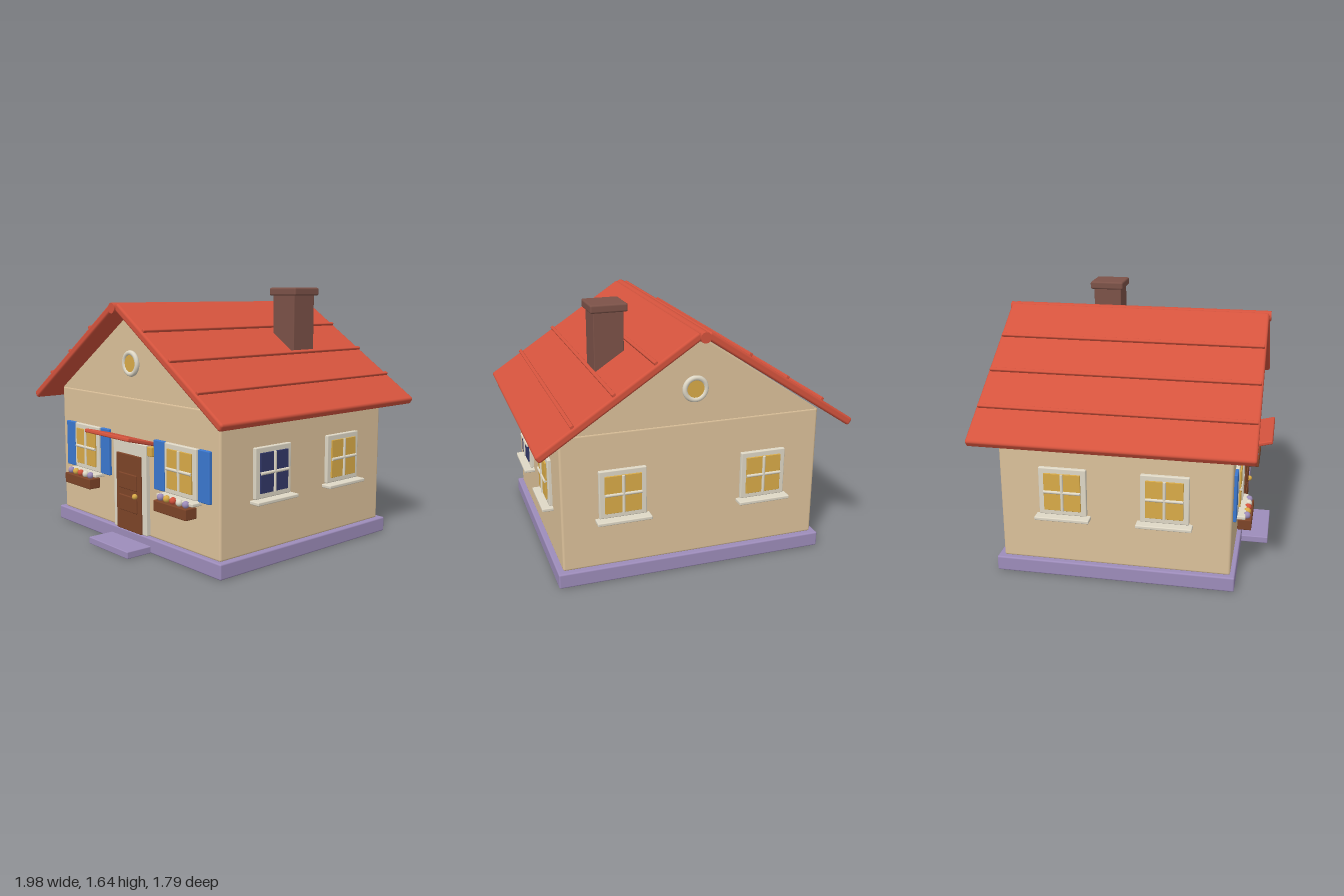
import * as THREE from 'three';
import { RoundedBoxGeometry } from 'three/addons/geometries/RoundedBoxGeometry.js';

const mat = (name, color) => {
  const m = new THREE.MeshStandardMaterial({ color });
  m.name = name;
  return m;
};

export function createModel() {
  const M = {
    wall: mat('sand plaster', 0xdcc19a),
    roof: mat('red tile', 0xd4533d),
    stone: mat('lavender stone', 0x9d8cba),
    trim: mat('cream trim', 0xdfd8c6),
    amber: mat('amber glass', 0xd9ab48),
    navy: mat('navy glass', 0x323868),
    blue: mat('blue shutter', 0x3b78d0),
    wood: mat('brown wood', 0x7d4428),
    brick: mat('chimney brick', 0x7c5248),
  };
  const house = new THREE.Group();
  house.name = 'house';

  const add = (parent, name, geometry, material, x, y, z) => {
    const mesh = new THREE.Mesh(geometry, material);
    mesh.name = name;
    mesh.position.set(x, y, z);
    parent.add(mesh);
    return mesh;
  };
  // softly rounded box given by size and centre
  const box = (parent, name, material, [w, h, d], [x, y, z], r = 0.006) =>
    add(parent, name, new RoundedBoxGeometry(w, h, d, 2, r), material, x, y, z);

  // base, step and walls
  const FRONT = 0.686, BACK = -0.738, SIDE = 0.83, MID = (FRONT + BACK) / 2;
  box(house, 'foundation', M.stone, [1.73, 0.095, 1.492], [0, 0.0475, -0.031], 0.01);
  box(house, 'step', M.stone, [0.424, 0.045, 0.2], [0, 0.0225, 0.79]);
  box(house, 'walls', M.wall, [2 * SIDE, 0.865, FRONT - BACK], [0, 0.5225, MID], 0.015);

  // gable prism under the roof
  const tri = new THREE.Shape([
    new THREE.Vector2(-0.825, 0.95), new THREE.Vector2(0.825, 0.95), new THREE.Vector2(0, 1.49),
  ]);
  const depth = FRONT - BACK - 0.004;
  add(house, 'gable', new THREE.ExtrudeGeometry(tri, { depth, bevelEnabled: false }), M.wall, 0, 0, BACK + 0.002);

  // roof slopes with ribs
  const PITCH = 0.582;
  for (const s of [-1, 1]) {
    const slope = new THREE.Group();
    slope.name = s < 0 ? 'rightRoofSlope' : 'leftRoofSlope';
    slope.position.set(s * 0.501, 1.206, -0.0325);
    slope.rotation.z = -s * PITCH;
    box(slope, 'roofSlab', M.roof, [1.15, 0.05, 1.705], [0, 0, 0], 0.015);
    for (const x of [0.28, 0.525, 0.767]) {
      const along = (s * (x - 0.51)) / Math.cos(PITCH);
      box(slope, 'roofRib', M.roof, [0.024, 0.024, 1.685], [along, 0.03, 0], 0.006);
    }
    house.add(slope);
  }
  const ridge = add(house, 'ridge', new THREE.CylinderGeometry(0.033, 0.033, 1.73, 12), M.roof, 0, 1.511, -0.0325);
  ridge.rotation.x = Math.PI / 2;

  // chimney
  box(house, 'chimney', M.brick, [0.188, 0.46, 0.19], [0.431, 1.37, -0.315], 0.005);
  box(house, 'chimneyCap', M.brick, [0.232, 0.052, 0.23], [0.431, 1.61, -0.318], 0.012);

  // window unit, facing +z before turning
  const addWindow = (name, x, z, turn, glass = M.amber) => {
    const g = new THREE.Group();
    g.name = name;
    g.position.set(x, 0.568, z);
    g.rotation.y = turn;
    box(g, 'frame', M.trim, [0.295, 0.305, 0.03], [0, 0, 0.008]);
    box(g, 'glass', glass, [0.228, 0.24, 0.02], [0, 0, 0.023], 0.002);
    const bar = (len) => new THREE.CylinderGeometry(0.01, 0.01, len, 10);
    add(g, 'uprightBar', bar(0.24), M.trim, 0, 0, 0.033);
    add(g, 'crossBar', bar(0.228), M.trim, 0, 0, 0.033).rotation.z = Math.PI / 2;
    box(g, 'sill', M.trim, [0.34, 0.022, 0.08], [0, -0.167, 0.03]);
    house.add(g);
  };
  for (const s of [-1, 1]) {
    addWindow('frontWindow', s * 0.5, FRONT, 0);
    addWindow('backWindow', s * 0.455, BACK, Math.PI);
    addWindow('sideWindow', s * SIDE, 0.285, s * Math.PI / 2, s > 0 ? M.navy : M.amber);
    addWindow('sideWindow', s * SIDE, -0.34, s * Math.PI / 2);

    // shutters, flower box and flowers
    for (const t of [-1, 1]) {
      box(house, 'shutter', M.blue, [0.1, 0.308, 0.026], [s * 0.5 + t * 0.209, 0.568, 0.693]);
    }
    box(house, 'flowerBox', M.wood, [0.305, 0.068, 0.085], [s * 0.5, 0.348, 0.75]);
    [M.stone, M.amber, M.roof, M.trim, M.stone].forEach((m, i) => {
      add(house, 'flower', new THREE.SphereGeometry(0.022, 14, 10), m, s * 0.5 + (i - 2) * 0.059, 0.4, 0.762);
    });
  }

  // round gable windows, front and back
  for (const [z, turn] of [[FRONT, 0], [BACK, Math.PI]]) {
    const g = new THREE.Group();
    g.name = 'roundWindow';
    g.position.set(0, 1.167, z);
    g.rotation.y = turn;
    add(g, 'roundFrame', new THREE.TorusGeometry(0.067, 0.016, 10, 32), M.trim, 0, 0, 0.008);
    add(g, 'roundGlass', new THREE.CylinderGeometry(0.066, 0.066, 0.02, 32), M.amber, 0, 0, 0.005).rotation.x = Math.PI / 2;
    house.add(g);
  }

  // door
  box(house, 'doorFrame', M.trim, [0.35, 0.577, 0.04], [0, 0.387, 0.695]);
  box(house, 'door', M.wood, [0.262, 0.497, 0.03], [0, 0.347, 0.711]);
  for (const y of [0.278, 0.422]) {
    box(house, 'doorPanel', M.wood, [0.19, 0.102, 0.02], [0, y, 0.725]);
  }
  add(house, 'doorKnob', new THREE.SphereGeometry(0.018, 16, 12), M.amber, 0.085, 0.34, 0.738);

  // awning and lantern
  box(house, 'awning', M.roof, [0.474, 0.025, 0.21], [0, 0.714, 0.788], 0.008).rotation.x = -0.25;
  box(house, 'lantern', M.amber, [0.045, 0.06, 0.045], [0.226, 0.645, 0.705]);

  return house;
}
